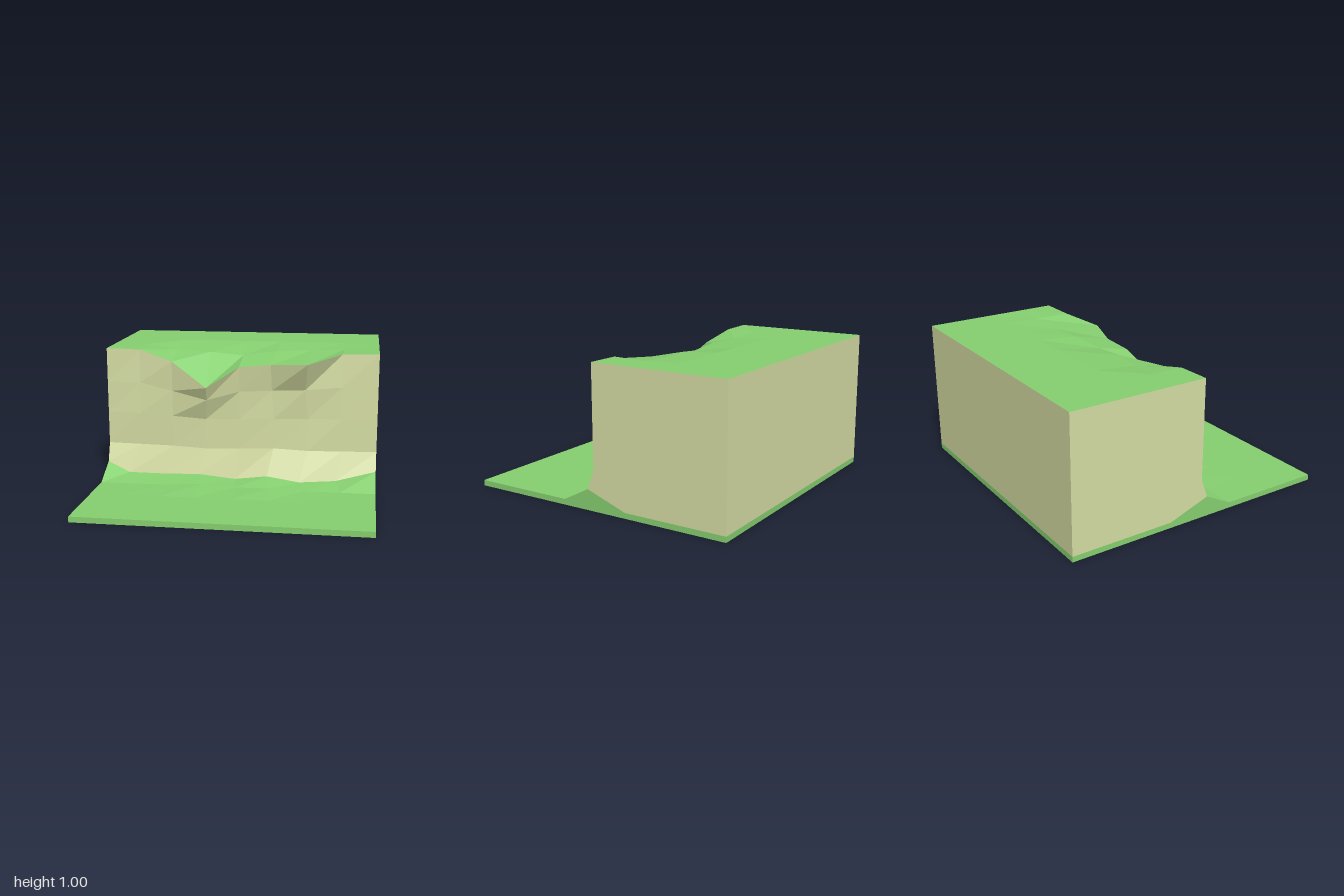
import * as THREE from 'three';

const grass = new THREE.MeshStandardMaterial({ color: 0x86d070, flatShading: true });
const rock = new THREE.MeshStandardMaterial({ color: 0xd6dea4, flatShading: true });

const COLS = [-1, -0.75, -0.5, -0.25, 0, 0.25, 0.5, 0.75, 1];

// A row of points across the block: y and z are constants or lists per column
const row = (y, z, x = COLS) => COLS.map((_, i) =>
  [x[i], Array.isArray(y) ? y[i] : y, Array.isArray(z) ? z[i] : z]);

// Skin consecutive rows into one surface
function skin(name, material, rows) {
  const index = [], n = COLS.length;
  for (let r = 0; r < rows.length - 1; r++) {
    for (let c = 0; c < n - 1; c++) {
      const a = r * n + c, b = a + n;
      index.push(a, b, a + 1, a + 1, b, b + 1);
    }
  }
  const geo = new THREE.BufferGeometry();
  geo.setAttribute('position', new THREE.Float32BufferAttribute(rows.flat(2), 3));
  geo.setIndex(index);
  geo.computeVertexNormals();
  const mesh = new THREE.Mesh(geo, material);
  mesh.name = name;
  return mesh;
}

// Flat end wall from a [z, y] outline, facing outwards at x = side
function endWall(name, material, outline, side) {
  const shape = new THREE.Shape(outline.map(([z, y]) => new THREE.Vector2(-side * z, y)));
  const geo = new THREE.ShapeGeometry(shape).rotateY(side * Math.PI / 2);
  const mesh = new THREE.Mesh(geo, material);
  mesh.position.x = side;
  mesh.name = name;
  return mesh;
}

export function createModel() {
  const group = new THREE.Group();
  group.name = 'cliffBlock';

  // Shared edges: sagging rim at the top, grassy toe at the foot
  const rim = row(
    [1, 0.995, 0.92, 0.75, 0.895, 0.915, 0.935, 0.995, 1],
    [0, 0, 0.05, 0.15, 0.08, 0.065, 0.145, 0.01, 0],
    [-1, -0.75, -0.5, -0.23, 0, 0.23, 0.5, 0.74, 1]);
  const toe = row(
    [0.145, 0.073, 0.073, 0.083, 0.057, 0.095, 0.062, 0.073, 0.145],
    [0.05, 0.075, 0.075, 0.085, 0.085, 0.11, 0.12, 0.085, 0.05],
    [-1, -0.83, -0.55, -0.3, -0.03, 0.21, 0.45, 0.71, 1]);

  // Upper plateau, dipping towards the rim
  group.add(skin('plateau', grass, [
    row(1, -1),
    row(1, -0.5),
    row([1, 1, 0.972, 0.965, 0.945, 0.975, 0.978, 0.992, 1],
      [-0.25, -0.25, -0.2, -0.15, -0.15, -0.2, -0.24, -0.25, -0.25]),
    rim,
  ]));

  // Faceted rock face
  group.add(skin('cliffFace', rock, [
    rim,
    row([0.75, 0.75, 0.7, 0.65, 0.71, 0.72, 0.735, 0.755, 0.75],
      [0, 0.01, 0.04, 0.1, 0.05, 0.03, 0.05, 0.02, 0],
      [-1, -0.75, -0.5, -0.235, 0, 0.235, 0.48, 0.74, 1]),
    row([0.52, 0.52, 0.51, 0.495, 0.505, 0.51, 0.52, 0.52, 0.52],
      [0, 0.02, 0.035, 0.04, 0.04, 0.035, 0.03, 0.02, 0]),
    row([0.28, 0.28, 0.28, 0.27, 0.28, 0.29, 0.28, 0.28, 0.28],
      [0, 0.015, 0.03, 0.04, 0.04, 0.04, 0.04, 0.02, 0]),
    toe,
  ]));

  // Lower ground, wrapping round the front lip, underside and back lip
  group.add(skin('lowerGround', grass, [
    toe,
    row([0.04, 0.04, 0.045, 0.06, 0.045, 0.058, 0.045, 0.04, 0.04],
      [0.25, 0.25, 0.25, 0.25, 0.25, 0.28, 0.27, 0.25, 0.25]),
    row(0.04, 0.5),
    row(0.04, 1),
    row(0, 1),
    row(0, -1),
    row(0.04, -1),
  ]));

  // Rock back wall
  group.add(skin('backWall', rock, [row(0.04, -1), row(1, -1)]));

  // End walls: rock above a grassy skirt
  for (const [label, side] of [['left', 1], ['right', -1]]) {
    group.add(endWall(label + 'RockWall', rock,
      [[-1, 0.04], [-0.25, 0.04], [0.05, 0.145], [0, 0.28], [0, 1], [-1, 1]], side));
    group.add(endWall(label + 'GrassSkirt', grass,
      [[-1, 0], [1, 0], [1, 0.04], [0.25, 0.04], [0.05, 0.145], [-0.25, 0.04], [-1, 0.04]], side));
  }
  return group;
}
